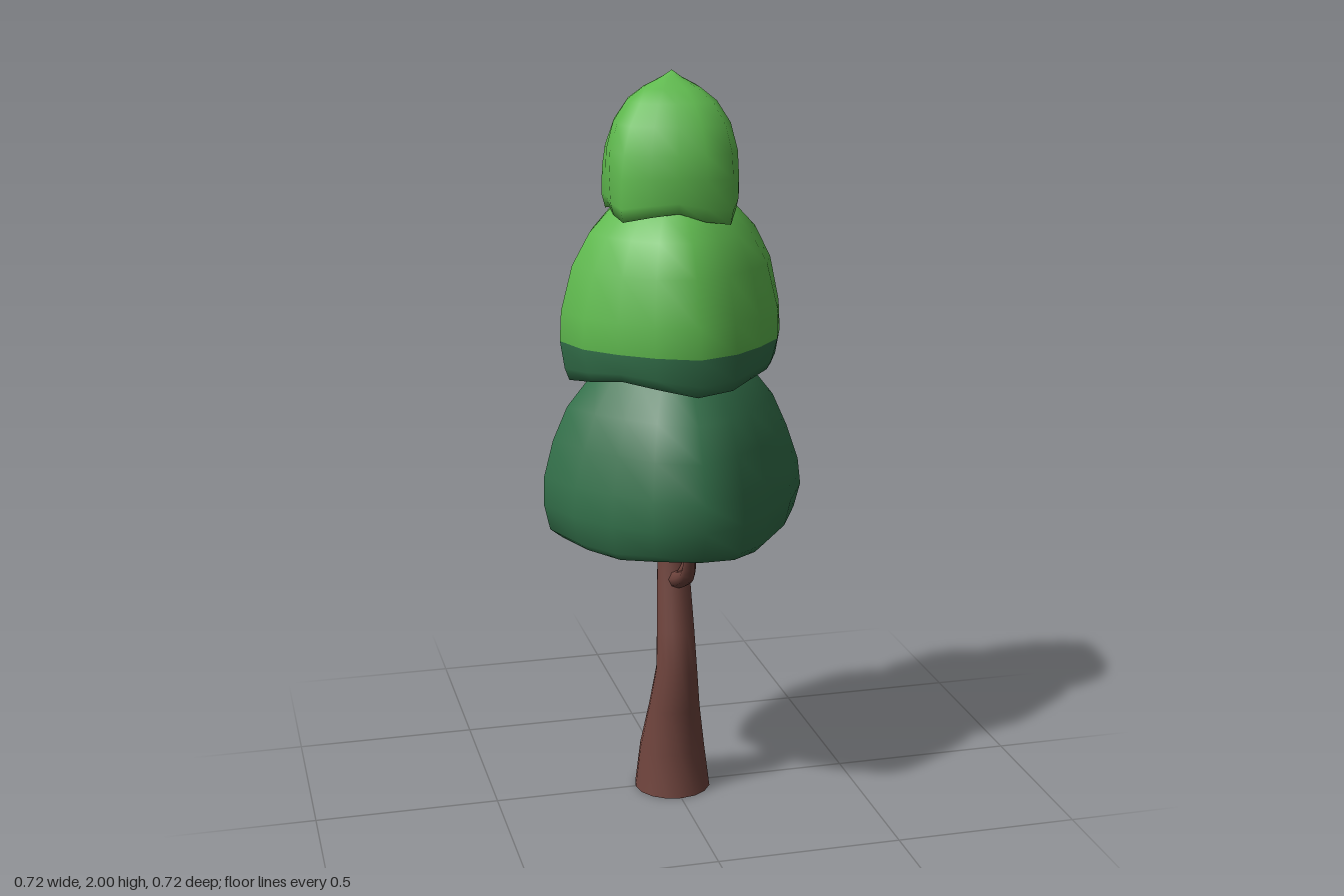
import * as THREE from 'three';

const SEG = 16;
const material = (name, color) => {
  const m = new THREE.MeshStandardMaterial({ color });
  m.name = name;
  return m;
};

// Skins a stack of rings (bottom to top); rings from splitRow up use the second material.
function loft(rows, point, splitRow = rows) {
  const pos = [], index = [];
  for (let j = 0; j < rows; j++)
    for (let i = 0; i < SEG; i++) pos.push(...point(j, (i / SEG) * Math.PI * 2));
  for (let j = 0; j < rows - 1; j++)
    for (let i = 0; i < SEG; i++) {
      const k = (i + 1) % SEG;
      const a = j * SEG + i, b = a + SEG, c = (j + 1) * SEG + k, d = j * SEG + k;
      index.push(a, b, c, a, c, d);
    }
  const geo = new THREE.BufferGeometry();
  geo.setAttribute('position', new THREE.Float32BufferAttribute(pos, 3));
  geo.setIndex(index);
  geo.computeVertexNormals();
  const cut = Math.min(splitRow, rows - 1) * SEG * 6;
  geo.addGroup(0, cut, 0);
  if (cut < index.length) geo.addGroup(cut, index.length - cut, 1);
  return geo;
}

// Foliage tier with a rounded-square plan and a wavy hem.
// Profile rows: [corner radius, height, hem wave weight].
function tier({ profile, turn, side, wave, lump, split }) {
  return loft(profile.length, (j, a) => {
    const [r, y, w] = profile[j];
    const t = a + turn;
    const plan = side + (1 - side) * Math.abs(Math.cos(2 * a)) ** 3;
    const bump = 1 + lump * Math.sin(3 * t + 9 * y) + lump * 0.6 * Math.sin(5 * t - 14 * y);
    const rr = r * plan * bump;
    const yy = y + w * (wave * Math.cos(4 * a) + 0.008 * Math.sin(3 * t + 1));
    return [rr * Math.cos(t), yy, rr * Math.sin(t)];
  }, split);
}

// Tube that narrows from r0 to r1 along its path.
function taperedTube(points, r0, r1) {
  const curve = new THREE.CatmullRomCurve3(points.map((p) => new THREE.Vector3(...p)));
  const steps = 10, sides = 8;
  const geo = new THREE.TubeGeometry(curve, steps, r0, sides);
  const pos = geo.attributes.position, v = new THREE.Vector3();
  for (let i = 0; i < pos.count; i++) {
    const u = Math.floor(i / (sides + 1)) / steps;
    const c = curve.getPointAt(u);
    v.fromBufferAttribute(pos, i).sub(c).multiplyScalar(1 + (r1 / r0 - 1) * u).add(c);
    pos.setXYZ(i, v.x, v.y, v.z);
  }
  return geo;
}

export function createModel() {
  const tree = new THREE.Group();
  tree.name = 'tree';
  const bark = material('bark brown', 0x6f443d);
  bark.side = THREE.DoubleSide;
  const dark = material('dark green', 0x33704a);
  const light = material('light green', 0x5fb94e);
  const add = (name, geo, mat) => {
    const mesh = new THREE.Mesh(geo, mat);
    mesh.name = name;
    tree.add(mesh);
  };

  // Leaning trunk, open at the foot: [height, z centre, radius]
  const rings = [
    [0, 0.004, 0.106], [0.12, 0.003, 0.091], [0.25, 0.028, 0.071], [0.37, 0.054, 0.057],
    [0.48, 0.042, 0.052], [0.6, 0.022, 0.047], [0.7, 0.012, 0.042], [0.82, 0.008, 0.036],
  ];
  add('trunk', loft(rings.length, (j, t) => {
    const [y, z, r] = rings[j];
    return [r * Math.cos(t), y, z + r * Math.sin(t)];
  }), [bark]);

  // Branches reaching into the lowest foliage
  add('frontBranch', taperedTube([[0, 0.62, 0.03], [0.005, 0.65, 0.11], [0, 0.69, 0.18], [-0.01, 0.79, 0.245]], 0.027, 0.014), bark);
  add('frontTwig', taperedTube([[0, 0.645, 0.085], [0.015, 0.69, 0.1], [0.03, 0.79, 0.105]], 0.014, 0.009), bark);
  add('backBranch', taperedTube([[0, 0.625, 0.01], [-0.01, 0.67, -0.05], [-0.02, 0.72, -0.105], [-0.03, 0.79, -0.14]], 0.03, 0.013), bark);

  // Lowest tier
  add('lowerFoliage', tier({
    profile: [
      [0, 0.785, 0], [0.14, 0.778, 0], [0.25, 0.762, 0.6], [0.31, 0.75, 1], [0.343, 0.775, 0.9],
      [0.36, 0.85, 0.4], [0.355, 0.93, 0], [0.325, 1.03, 0], [0.285, 1.12, 0], [0.205, 1.22, 0],
      [0.1, 1.28, 0], [0, 1.3, 0],
    ],
    turn: 0, side: 0.835, wave: 0.014, lump: 0.012,
  }), [dark]);

  // Middle tier: dark hem below, light green above
  add('middleFoliage', tier({
    profile: [
      [0, 1.24, 0], [0.15, 1.235, 0.3], [0.23, 1.218, 0.8], [0.278, 1.208, 1], [0.29, 1.235, 0.7],
      [0.302, 1.3, 0], [0.298, 1.38, 0], [0.27, 1.5, 0], [0.225, 1.585, 0], [0.165, 1.65, 0],
      [0.08, 1.7, 0], [0, 1.71, 0],
    ],
    turn: 0, side: 0.89, wave: -0.008, lump: 0.014, split: 5,
  }), [dark, light]);

  // Top tier, twisted against the others and rising to a point
  add('topFoliage', tier({
    profile: [
      [0, 1.67, 0], [0.1, 1.66, 0.3], [0.165, 1.645, 0.8], [0.198, 1.638, 1], [0.207, 1.67, 0.7],
      [0.207, 1.74, 0.2], [0.2, 1.8, 0], [0.175, 1.87, 0], [0.133, 1.925, 0], [0.085, 1.957, 0],
      [0.03, 1.982, 0], [0, 2, 0],
    ],
    turn: 0.92, side: 0.845, wave: -0.016, lump: 0.025,
  }), [light]);

  return tree;
}
